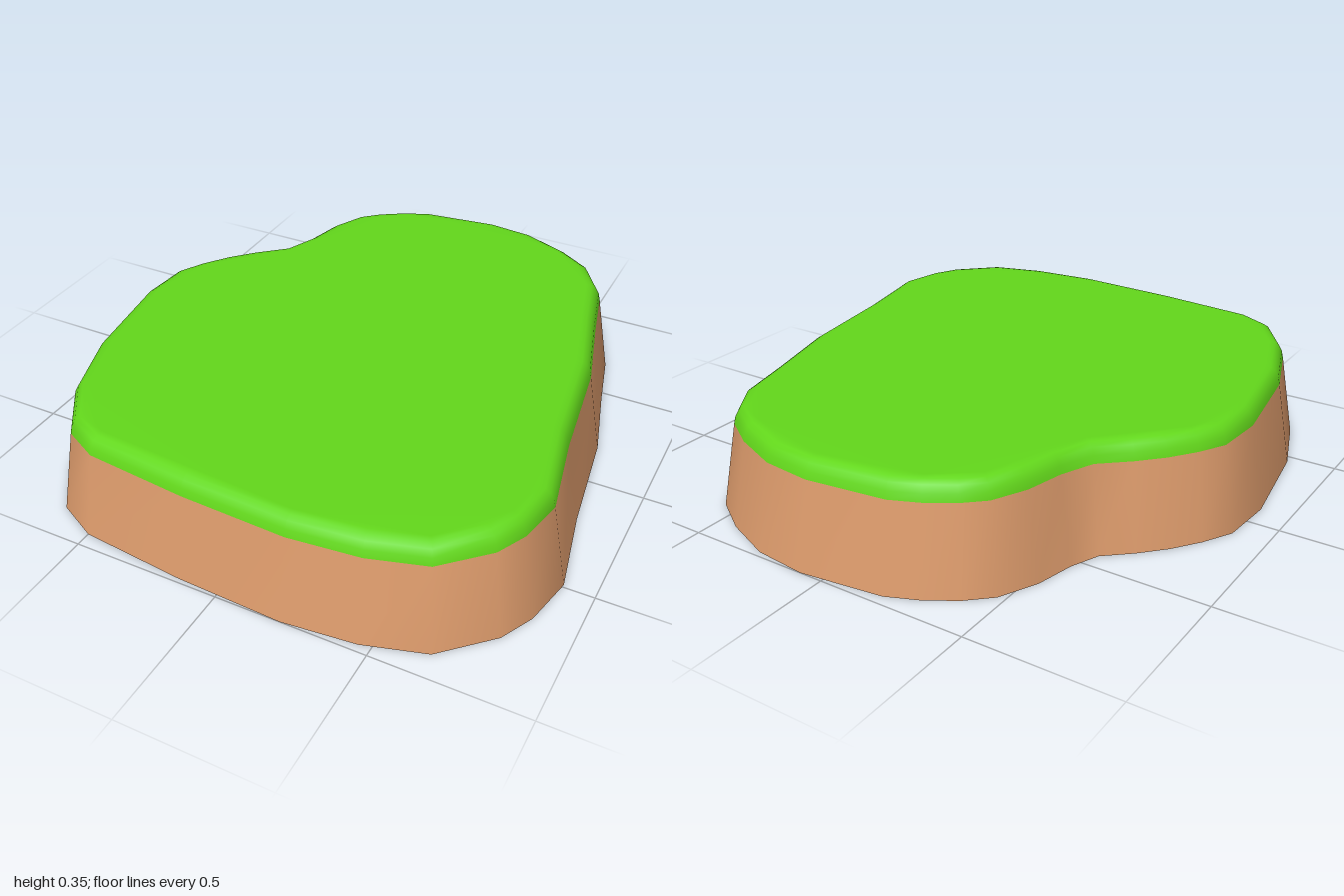
import * as THREE from 'three';

// Ground outline (x, z), clockwise seen from above, starting at the back
const OUTLINE = [
  [0.08, -1], [0.26, -0.98], [0.43, -0.91], [0.56, -0.825], [0.655, -0.68], [0.71, -0.46],
  [0.785, -0.185], [0.84, 0.195], [0.9, 0.49], [0.865, 0.66], [0.81, 0.77], [0.66, 0.915],
  [0.46, 0.975], [0.22, 1], [-0.14, 0.985], [-0.5, 0.95], [-0.64, 0.88], [-0.76, 0.705],
  [-0.845, 0.46], [-0.9, 0.095], [-0.885, -0.095], [-0.83, -0.195], [-0.765, -0.285],
  [-0.69, -0.365], [-0.605, -0.44], [-0.565, -0.535], [-0.535, -0.665], [-0.475, -0.79],
  [-0.4, -0.86], [-0.305, -0.92], [-0.2, -0.965],
].map(([x, z]) => new THREE.Vector2(x, z));
const N = OUTLINE.length;

// Outline moved inward by d, with mitred corners
function inset(d) {
  return OUTLINE.map((p, i) => {
    const a = p.clone().sub(OUTLINE[(i + N - 1) % N]).normalize();
    const b = OUTLINE[(i + 1) % N].clone().sub(p).normalize();
    const t = a.clone().add(b).normalize();
    const s = d / t.dot(b);
    return new THREE.Vector2(p.x - t.y * s, p.y + t.x * s);
  });
}

// Skin through rings given as [inset, height], optionally closed on top
function skin(profile, capped) {
  const positions = [], index = [];
  const rings = profile.map(([d]) => inset(d));
  rings.forEach((ring, r) => ring.forEach((p) => positions.push(p.x, profile[r][1], p.y)));
  for (let r = 0; r < rings.length - 1; r++) {
    for (let i = 0; i < N; i++) {
      const a = r * N + i, b = r * N + (i + 1) % N;
      index.push(a, a + N, b, b, a + N, b + N);
    }
  }
  if (capped) {
    const top = rings[rings.length - 1], base = (rings.length - 1) * N;
    for (const [a, b, c] of THREE.ShapeUtils.triangulateShape(top, [])) {
      const up = THREE.ShapeUtils.area([top[a], top[b], top[c]]) < 0;
      index.push(base + a, base + (up ? b : c), base + (up ? c : b));
    }
  }
  const geometry = new THREE.BufferGeometry();
  geometry.setAttribute('position', new THREE.Float32BufferAttribute(positions, 3));
  geometry.setIndex(index);
  geometry.computeVertexNormals();
  return geometry;
}

function part(name, geometry, color) {
  const mesh = new THREE.Mesh(geometry, new THREE.MeshStandardMaterial({ color, side: THREE.DoubleSide }));
  mesh.name = name;
  return mesh;
}

export function createModel() {
  const group = new THREE.Group();
  group.name = 'grassPlatform';
  // Sloping earth wall, open underneath
  group.add(part('earthWall', skin([[0, 0], [0.052, 0.285]], false), 0xdb9a6b));
  // Grass layer with a rounded rim
  const rim = [[0.052, 0.285], [0.058, 0.31], [0.07, 0.332], [0.086, 0.343], [0.105, 0.347]];
  group.add(part('grassTop', skin(rim, true), 0x63d81b));
  return group;
}
